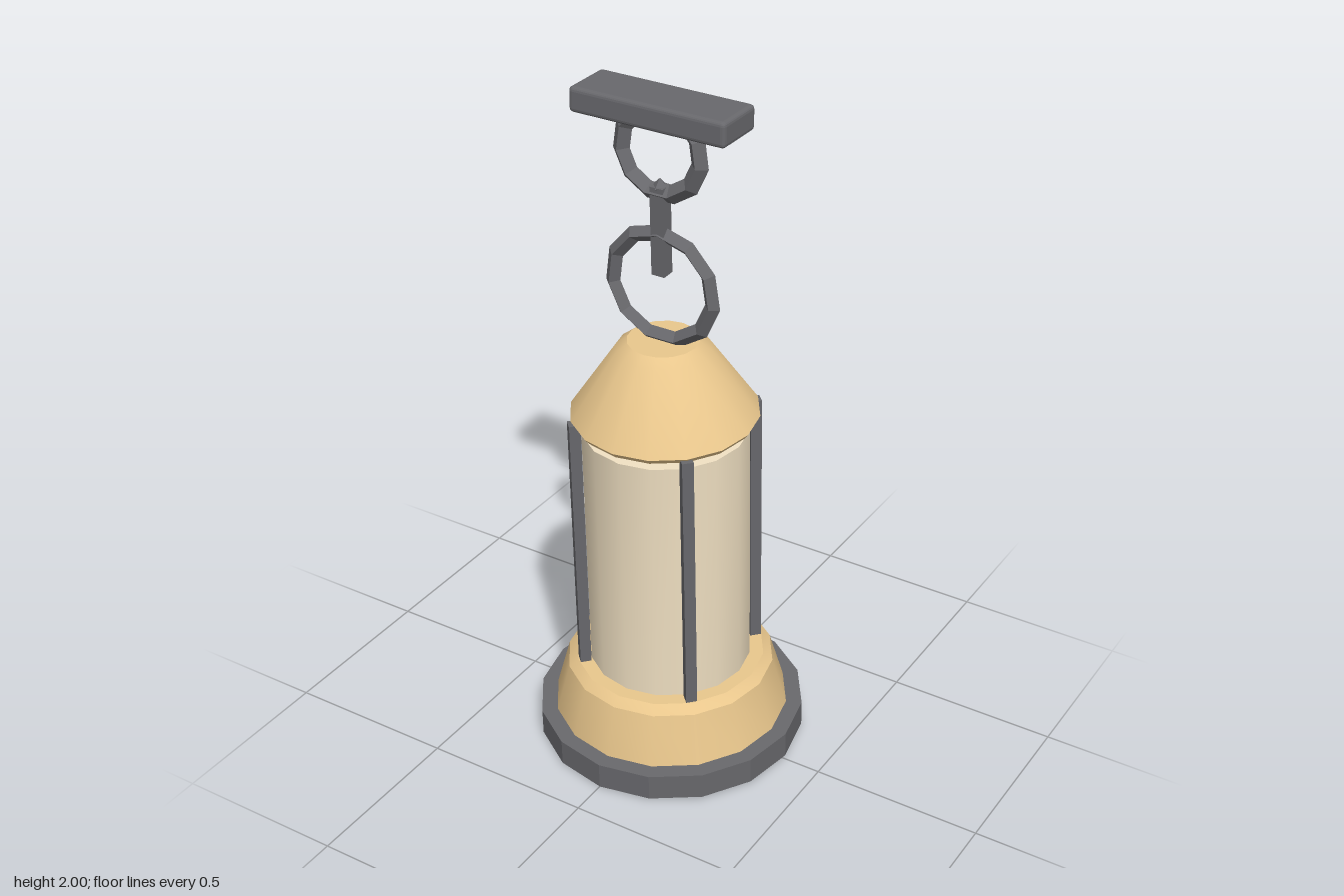
import * as THREE from 'three';
import { toCreasedNormals } from 'three/addons/utils/BufferGeometryUtils.js';
import { RoundedBoxGeometry } from 'three/addons/geometries/RoundedBoxGeometry.js';

const iron = new THREE.MeshStandardMaterial({ color: 0x68686c, flatShading: true });
const brass = new THREE.MeshStandardMaterial({ color: 0xe8c68c });
const glass = new THREE.MeshStandardMaterial({ color: 0xf0e0c2 });

function add(parent, name, geometry, material, x = 0, y = 0, z = 0) {
  const mesh = new THREE.Mesh(geometry, material);
  mesh.name = name;
  mesh.position.set(x, y, z);
  parent.add(mesh);
  return mesh;
}

// Turned part from [radius, height] pairs, listed bottom to top
function turned(points, sides = 16) {
  const profile = points.map(([r, y]) => new THREE.Vector2(r, y));
  return toCreasedNormals(new THREE.LatheGeometry(profile, sides), 0.45);
}

// Chain ring with a square section, facing the front
function ring(radius, tube) {
  return new THREE.TorusGeometry(radius, tube, 4, 11).rotateZ(Math.PI / 2);
}

export function createModel() {
  const model = new THREE.Group();
  model.name = 'hangingLantern';

  // The lantern hangs at a slight forward tilt
  const lantern = new THREE.Group();
  lantern.name = 'lantern';
  lantern.position.y = 0.0125;
  lantern.rotation.x = 0.033;
  model.add(lantern);

  // Base
  add(lantern, 'baseDisc', new THREE.CylinderGeometry(0.39, 0.39, 0.08, 16), iron, 0, 0.04);
  add(lantern, 'baseCollar',
    turned([[0, 0.075], [0.345, 0.075], [0.302, 0.23], [0.275, 0.252], [0, 0.252]]), brass);

  // Glass body
  add(lantern, 'glassBody',
    toCreasedNormals(new THREE.CylinderGeometry(0.235, 0.235, 0.78, 16), 0.6), glass, 0, 0.63);

  // Four corner bars
  for (const x of [-0.18, 0.18]) {
    for (const z of [-0.18, 0.18]) {
      const bar = add(lantern, 'cageBar', new THREE.BoxGeometry(0.032, 0.83, 0.032), iron, x, 0.645, z);
      bar.rotation.y = Math.PI / 4;
    }
  }

  // Conical lid
  add(lantern, 'lid',
    turned([[0, 1.05], [0.25, 1.05], [0.263, 1.067], [0.13, 1.265], [0.1, 1.288], [0, 1.288]]), brass);

  // Lower ring and the link joining it to the upper ring
  add(lantern, 'lowerRing', ring(0.157, 0.023), iron, 0, 1.45);
  add(lantern, 'linkBar', new THREE.BoxGeometry(0.04, 0.255, 0.04), iron, 0, 1.615);
  add(lantern, 'linkTip', new THREE.OctahedronGeometry(0.024), iron, 0, 1.74);

  // Upper ring and ceiling bracket
  add(model, 'upperRing', ring(0.12, 0.026), iron, 0, 1.85, 0.055);
  add(model, 'bracket', new RoundedBoxGeometry(0.464, 0.07, 0.154, 2, 0.012), iron, 0, 1.965, 0.052);

  return model;
}
